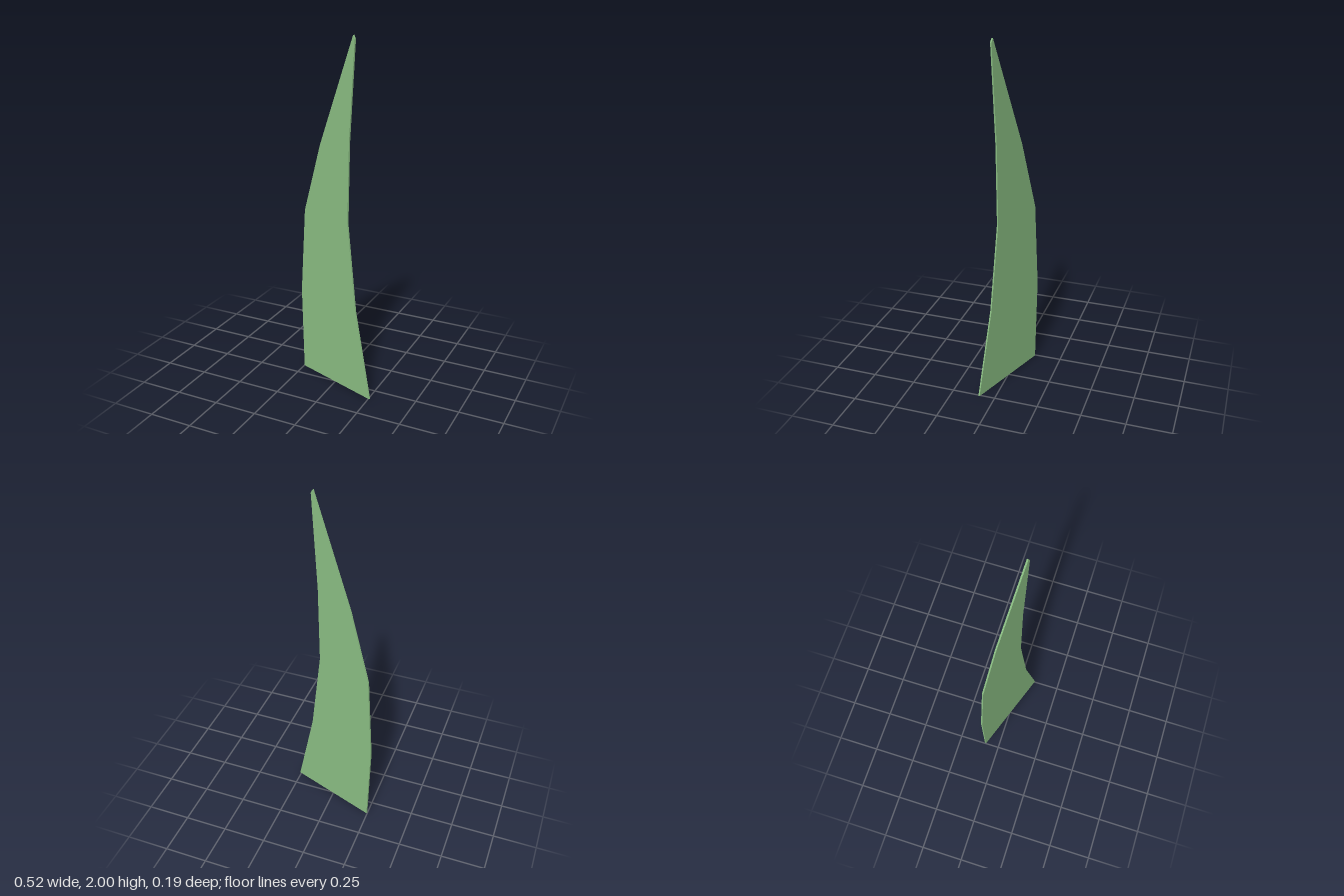
import * as THREE from 'three';

export function createModel() {
  const group = new THREE.Group();
  group.name = 'grassBlade';

  const angle = 0.342;     // turn of the blade about the vertical
  const thickness = 0.009;
  const stretch = 1 / Math.cos(angle);

  // Outline of the blade: up the concave edge, over the tip, down the convex edge
  const outline = [
    [-0.247, 0], [0.257, 0], [0.149, 0.5], [0.089, 1], [0.097, 1.45],
    [0.131, 1.98], [0.12, 2], [-0.109, 1.4], [-0.228, 1], [-0.261, 0.5],
  ].map(([x, y]) => new THREE.Vector2(x * stretch, y));

  const geometry = new THREE.ExtrudeGeometry(new THREE.Shape(outline), {
    depth: thickness, bevelEnabled: false,
  });
  geometry.translate(0, 0, -thickness / 2);

  // Thin flat blade
  const blade = new THREE.Mesh(
    geometry,
    new THREE.MeshStandardMaterial({ color: 0x8cc084 }),
  );
  blade.name = 'blade';
  blade.rotation.y = -angle;
  group.add(blade);
  return group;
}
